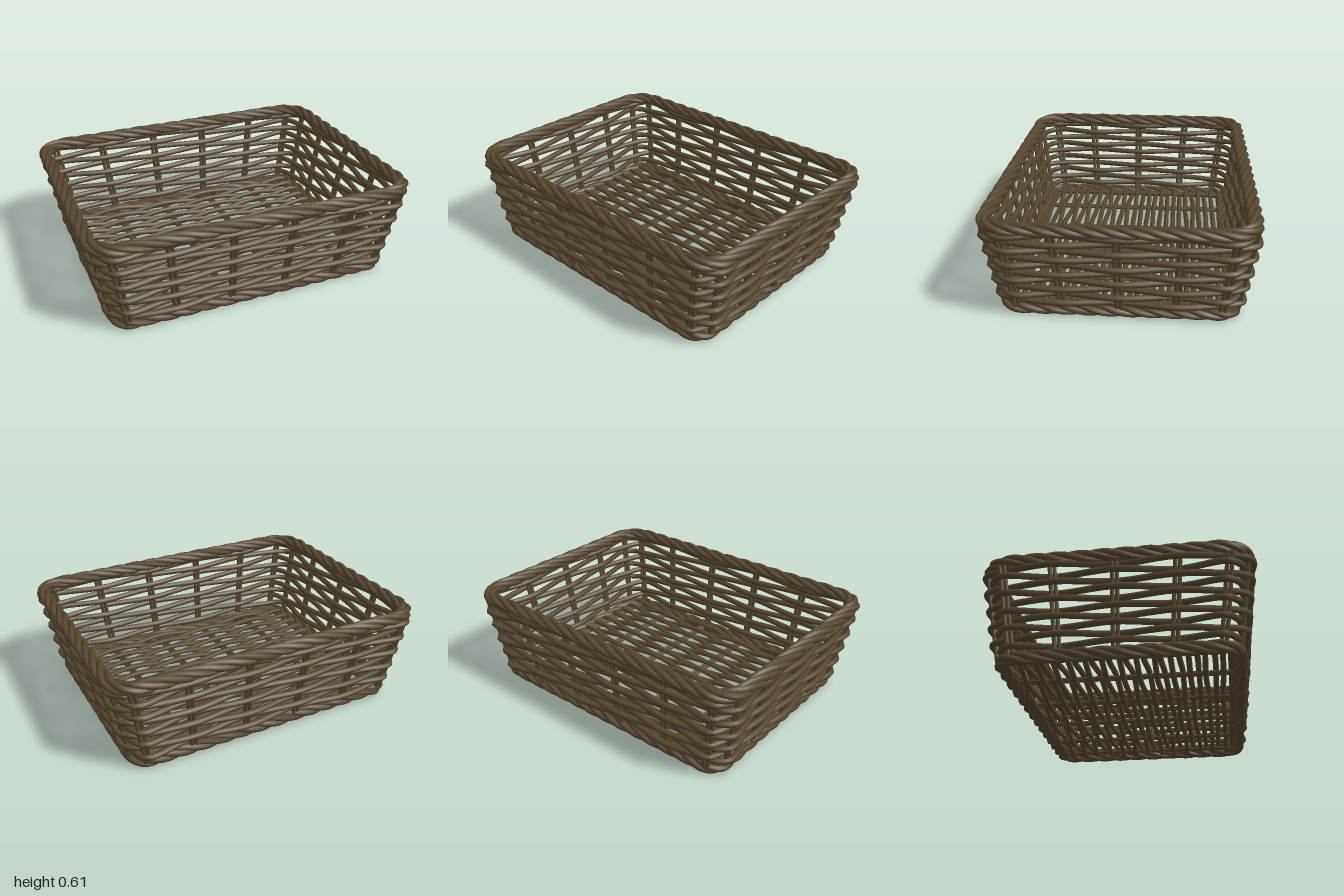
import * as THREE from 'three';

const wicker = new THREE.MeshStandardMaterial({ color: 0x564731 });
wicker.name = 'brown wicker';

const V = (x, y, z) => new THREE.Vector3(x, y, z);
const lerp = THREE.MathUtils.lerp;

// Small seeded wobble so the canes look hand woven
let seed = 7;
const wobble = (size) => {
  seed = (seed * 16807) % 2147483647;
  return (seed / 2147483647 - 0.5) * 2 * size;
};

// A bent cane through a list of points
function cane(name, points, radius, segments, closed = false) {
  const curve = new THREE.CatmullRomCurve3(points, closed, 'centripetal');
  const mesh = new THREE.Mesh(new THREE.TubeGeometry(curve, segments, radius, 7, closed), wicker);
  mesh.name = name;
  return mesh;
}

// A straight stick with rounded ends
function stick(name, a, b, radius) {
  const dir = b.clone().sub(a);
  const mesh = new THREE.Mesh(new THREE.CapsuleGeometry(radius, dir.length(), 2, 7), wicker);
  mesh.name = name;
  mesh.position.copy(a).add(b).multiplyScalar(0.5);
  mesh.quaternion.setFromUnitVectors(V(0, 1, 0), dir.normalize());
  return mesh;
}

// Canes twisted around a rounded rectangle
function rope(name, hx, hz, y, corner, turns, strands = 4) {
  const group = new THREE.Group();
  group.name = name;
  const path = new THREE.Shape();
  path.moveTo(hx, 0);
  path.lineTo(hx, hz - corner);
  path.absarc(hx - corner, hz - corner, corner, 0, Math.PI / 2);
  path.absarc(corner - hx, hz - corner, corner, Math.PI / 2, Math.PI);
  path.absarc(corner - hx, corner - hz, corner, Math.PI, Math.PI * 1.5);
  path.absarc(hx - corner, corner - hz, corner, Math.PI * 1.5, Math.PI * 2);
  path.lineTo(hx, 0);
  const count = 160;
  for (let k = 0; k < strands; k++) {
    const points = [];
    for (let i = 0; i < count; i++) {
      const u = i / count;
      const p = path.getPointAt(u);
      const t = path.getTangentAt(u);
      const angle = (u * turns + k / strands) * Math.PI * 2;
      const out = 0.026 * Math.cos(angle);
      points.push(V(p.x + t.y * out, y + 0.02 * Math.sin(angle), p.y - t.x * out));
    }
    group.add(cane(name + 'Strand', points, 0.0195, 260, true));
  }
  return group;
}

// Half width and half depth of the sloping wall at a height
const wallX = (y) => lerp(0.865, 0.95, (y - 0.09) / 0.44);
const wallZ = (y) => lerp(0.66, 0.72, (y - 0.09) / 0.44);
const postsX = [-0.915, -0.585, -0.195, 0.195, 0.585, 0.915];
const postsZ = [-0.86, -0.475, 0, 0.475, 0.86];

// One closed wall row passing in front of and behind the posts in turn
function wallRow(y, parity) {
  const hx = wallX(y), hz = wallZ(y), cut = 0.035;
  const points = [];
  let n = parity;
  const amp = () => (n++ % 2 ? 0.02 : -0.02) + wobble(0.002);
  const h = () => y + wobble(0.004);
  for (const f of postsX) points.push(V(f * hx, h(), hz + amp()));
  points.push(V(hx - cut, y, hz - cut));
  for (const f of [...postsZ].reverse()) points.push(V(hx + amp(), h(), f * hz));
  points.push(V(hx - cut, y, cut - hz));
  for (const f of [...postsX].reverse()) points.push(V(f * hx, h(), -hz - amp()));
  points.push(V(cut - hx, y, cut - hz));
  for (const f of postsZ) points.push(V(-hx - amp(), h(), f * hz));
  points.push(V(cut - hx, y, hz - cut));
  return cane('wallCane', points, 0.0185, 210, true);
}

export function createModel() {
  const basket = new THREE.Group();
  basket.name = 'wickerBasket';

  // Twisted rim and foot
  basket.add(rope('rim', 0.954, 0.716, 0.572, 0.15, 13));
  basket.add(rope('foot', 0.84, 0.637, 0.041, 0.09, 12));

  // Woven wall rows
  const wall = new THREE.Group();
  wall.name = 'wall';
  for (let i = 0; i < 10; i++) wall.add(wallRow(0.095 + i * 0.0485, i % 2));
  basket.add(wall);

  // Upright posts, in pairs
  const posts = new THREE.Group();
  posts.name = 'posts';
  const low = 0.04, high = 0.57;
  for (const side of [-1, 1]) {
    for (const shift of [-0.013, 0.013]) {
      for (const f of postsX) {
        posts.add(stick('post', V(f * wallX(low) + shift, low, side * wallZ(low)),
          V(f * wallX(high) + shift, high, side * wallZ(high)), 0.012));
      }
      for (const f of postsZ) {
        posts.add(stick('post', V(side * wallX(low), low, f * wallZ(low) + shift),
          V(side * wallX(high), high, f * wallZ(high) + shift), 0.012));
      }
    }
  }
  basket.add(posts);

  // Floor: paired cross sticks with canes woven over and under them
  const floor = new THREE.Group();
  floor.name = 'floor';
  const ribs = [-0.78, -0.51, -0.17, 0.17, 0.51, 0.78];
  const floorY = 0.048;
  for (const x of ribs) {
    for (const shift of [-0.012, 0.012]) {
      floor.add(stick('floorRib', V(x + shift, floorY, -0.63), V(x + shift, floorY, 0.63), 0.011));
    }
  }
  const rows = 27;
  for (let i = 0; i < rows; i++) {
    const z = lerp(-0.6, 0.6, i / (rows - 1));
    const points = [V(-0.84, floorY, z)];
    ribs.forEach((x, k) => {
      points.push(V(x, floorY + ((i + k) % 2 ? 0.018 : -0.018), z + wobble(0.006)));
    });
    points.push(V(0.84, floorY, z));
    floor.add(cane('floorCane', points, 0.0165, 48));
  }
  basket.add(floor);

  // Stand on the ground, centred
  const box = new THREE.Box3().setFromObject(basket, true);
  const centre = box.getCenter(new THREE.Vector3());
  basket.position.set(-centre.x, -box.min.y, -centre.z);
  return basket;
}
